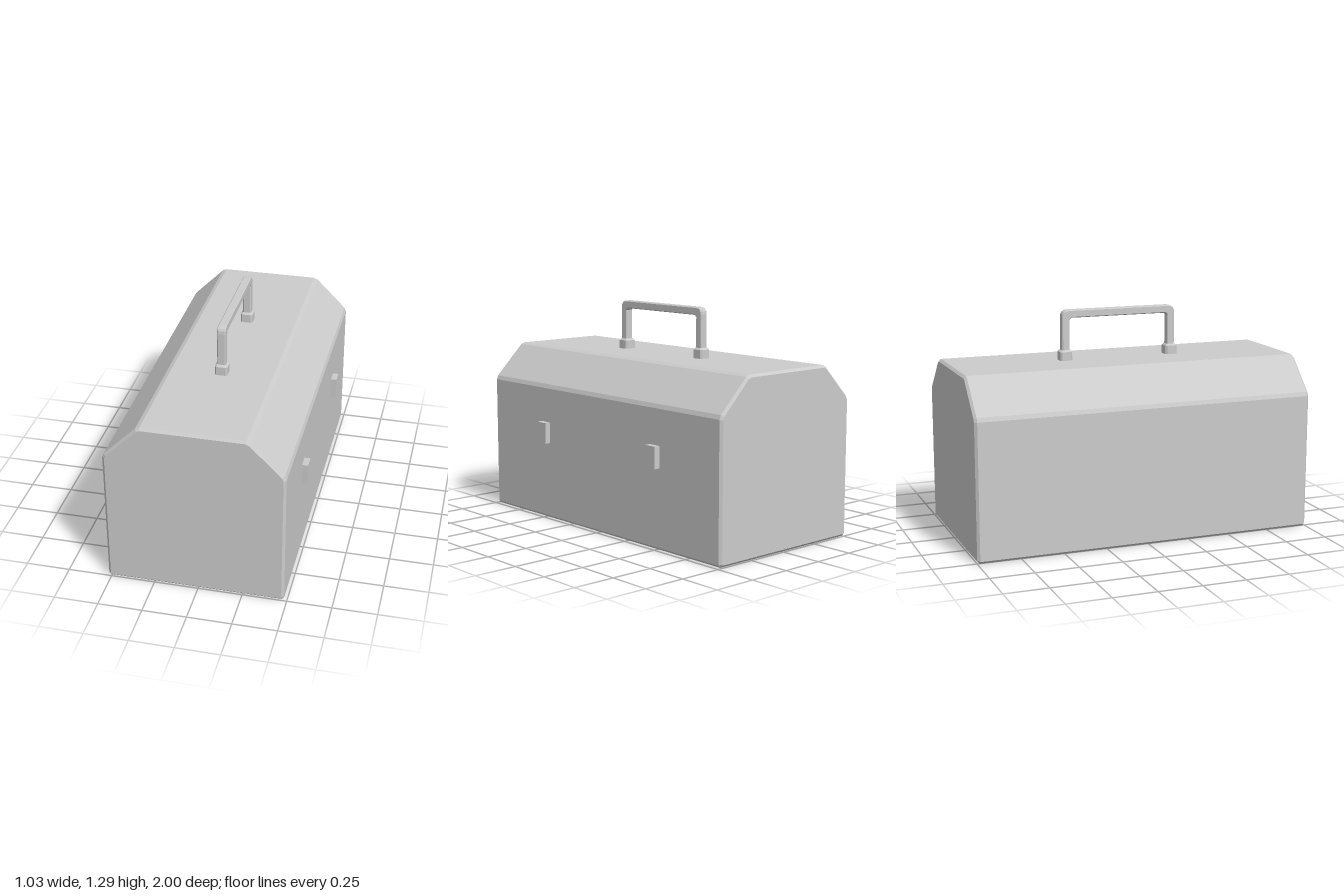
import * as THREE from 'three';

const material = new THREE.MeshStandardMaterial({ color: 0xcccccc, flatShading: true });
const CX = -0.017; // centre line of box and handle

// Closed shape whose corners are cut back by d
function chamferedShape(points, d) {
  const out = [];
  points.forEach(([x, y], i) => {
    const p = new THREE.Vector2(x, y);
    const prev = new THREE.Vector2(...points[(i + points.length - 1) % points.length]);
    const next = new THREE.Vector2(...points[(i + 1) % points.length]);
    out.push(p.clone().add(prev.sub(p).setLength(d)), p.clone().add(next.sub(p).setLength(d)));
  });
  return new THREE.Shape(out);
}

// Extrusion centred on z = 0, bevelled inside its outline
function bevelled(shape, depth, bevel) {
  const geometry = new THREE.ExtrudeGeometry(shape, {
    depth: depth - 2 * bevel, bevelEnabled: true, bevelSegments: 1,
    bevelThickness: bevel, bevelSize: bevel, bevelOffset: -bevel, curveSegments: 4,
  });
  return geometry.translate(0, 0, bevel - depth / 2);
}

function addPart(group, name, geometry, x, y, z) {
  const mesh = new THREE.Mesh(geometry, material);
  mesh.name = name;
  mesh.position.set(x, y, z);
  group.add(mesh);
}

export function createModel() {
  const group = new THREE.Group();
  group.name = 'toolbox';

  // Box body with sloped shoulders
  const outline = [[-0.5, 0], [0.5, 0], [0.5, 0.8], [0.3, 1], [-0.3, 1], [-0.5, 0.8]];
  addPart(group, 'body', bevelled(chamferedShape(outline, 0.014), 2, 0.014), CX, 0, 0);

  // Handle: a U-shaped bar with rounded outer corners
  const w = 0.348, top = 1.29, bottom = 1.02, t = 0.045, r = 0.04, q = 0.012;
  const bar = new THREE.Shape();
  bar.moveTo(-w, bottom);
  bar.lineTo(-w, top - r);
  bar.quadraticCurveTo(-w, top, -w + r, top);
  bar.lineTo(w - r, top);
  bar.quadraticCurveTo(w, top, w, top - r);
  bar.lineTo(w, bottom);
  bar.lineTo(w - t, bottom);
  bar.lineTo(w - t, top - t - q);
  bar.lineTo(w - t - q, top - t);
  bar.lineTo(-w + t + q, top - t);
  bar.lineTo(-w + t, top - t - q);
  bar.lineTo(-w + t, bottom);
  addPart(group, 'handle', bevelled(bar, 0.048, 0.005).rotateY(-Math.PI / 2), CX, 0, 0);

  // Handle feet and side latches
  const h = 0.036;
  const square = chamferedShape([[-h, -h], [h, -h], [h, h], [-h, h]], 0.01);
  for (const side of [1, -1]) {
    const end = side > 0 ? 'front' : 'back';
    addPart(group, end + 'HandleFoot', bevelled(square, 0.08, 0.01).rotateX(-Math.PI / 2), CX, 1.02, side * 0.326);
    addPart(group, end + 'Latch', new THREE.BoxGeometry(0.054, 0.124, 0.076), 0.49, 0.521, side * 0.487);
  }
  return group;
}
